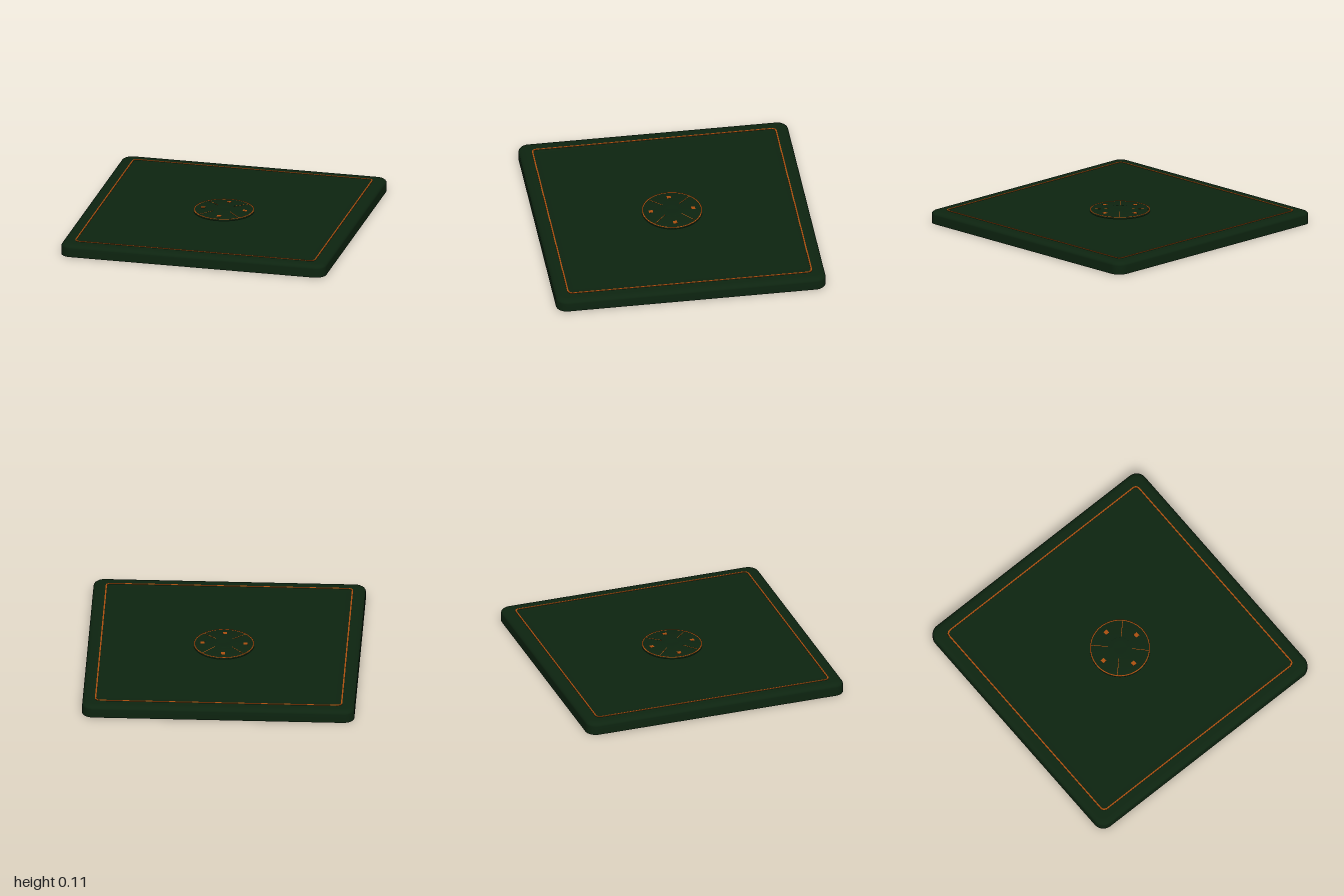
import * as THREE from 'three';

const green = new THREE.MeshStandardMaterial({ color: 0x0d2410, side: THREE.DoubleSide });
green.name = 'dark green';
const orange = new THREE.MeshStandardMaterial({ color: 0xad500f });
orange.name = 'orange';

// Points of a rounded square, counter-clockwise seen from above
function roundedLoop(half, radius, steps = 8) {
  const points = [];
  for (let c = 0; c < 4; c++) {
    const mid = Math.PI / 4 + c * Math.PI / 2;
    const cx = Math.sign(Math.cos(mid)) * (half - radius);
    const cy = Math.sign(Math.sin(mid)) * (half - radius);
    for (let i = 0; i <= steps; i++) {
      const a = (c + i / steps) * Math.PI / 2;
      points.push(new THREE.Vector2(cx + radius * Math.cos(a), cy + radius * Math.sin(a)));
    }
  }
  return points;
}

// Open-bottomed shell: stacked rounded squares closed by a flat top
function shellGeometry(profile) {
  const position = [], index = [];
  let n = 0;
  for (const [inset, y] of profile) {
    const loop = roundedLoop(1 - inset, Math.max(0.08 - inset, 0.02));
    n = loop.length;
    for (const p of loop) position.push(p.x, y, -p.y);
  }
  for (let r = 0; r < profile.length - 1; r++) {
    for (let i = 0; i < n; i++) {
      const j = (i + 1) % n, a = r * n + i, b = r * n + j;
      index.push(a, b, b + n, a, b + n, a + n);
    }
  }
  const centre = position.length / 3, last = (profile.length - 1) * n;
  position.push(0, profile[profile.length - 1][1], 0);
  for (let i = 0; i < n; i++) index.push(last + i, last + (i + 1) % n, centre);
  const geometry = new THREE.BufferGeometry();
  geometry.setAttribute('position', new THREE.Float32BufferAttribute(position, 3));
  geometry.setIndex(index);
  geometry.computeVertexNormals();
  return geometry;
}

export function createModel() {
  const model = new THREE.Group();
  model.name = 'controlPanel';
  const add = (parent, name, geometry, material, x = 0, y = 0, z = 0) => {
    const mesh = new THREE.Mesh(geometry, material);
    mesh.name = name;
    mesh.position.set(x, y, z);
    parent.add(mesh);
    return mesh;
  };

  // Shell with a soft upper edge and a slightly sunken face
  const profile = [[0, 0], [0, 0.04]];
  for (let i = 0; i <= 6; i++) {
    const a = (i / 6) * Math.PI / 2;
    profile.push([0.05 * (1 - Math.cos(a)), 0.065 + 0.028 * Math.sin(a)]);
  }
  profile.push([0.085, 0.093], [0.11, 0.093], [0.125, 0.09], [0.14, 0.09]);
  add(model, 'shell', shellGeometry(profile), green);

  // Thin border line with small rounded corners
  const border = new THREE.Shape(roundedLoop(0.909, 0.035, 3));
  border.holes.push(new THREE.Path(roundedLoop(0.899, 0.028, 3).reverse()));
  const borderGeometry = new THREE.ExtrudeGeometry(border, { depth: 0.004, bevelEnabled: false });
  borderGeometry.rotateX(-Math.PI / 2);
  add(model, 'borderLine', borderGeometry, orange, 0, 0.092, 0);

  // Round control pad rising gently to its centre button
  const pad = new THREE.Group();
  pad.name = 'controlPad';
  model.add(pad);
  const lathe = (points) => new THREE.LatheGeometry(points.map(([r, y]) => new THREE.Vector2(r, y)), 64);
  add(pad, 'padDisc', lathe([[0.222, 0.088], [0.222, 0.1], [0.08, 0.108]]), green);
  add(pad, 'centreButton', lathe([[0.082, 0.107], [0.078, 0.11], [0.04, 0.109], [0, 0.1085]]), green);
  add(pad, 'padRing', lathe([[0.222, 0.1], [0.222, 0.102], [0.214, 0.102], [0.214, 0.1]]), orange);

  // Divider lines on the diagonals and one symbol on each arm
  const slope = Math.atan2(0.008, 0.142);
  const padHeight = (r) => 0.1 + (0.222 - r) * Math.tan(slope);
  for (let i = 0; i < 4; i++) {
    const divider = new THREE.Group();
    divider.name = 'divider';
    divider.rotation.y = Math.PI / 4 + i * Math.PI / 2;
    pad.add(divider);
    const line = add(divider, 'dividerLine', new THREE.BoxGeometry(0.126, 0.002, 0.004), orange, 0.15, padHeight(0.15), 0);
    line.rotation.z = -slope;

    const arm = new THREE.Group();
    arm.name = 'padArm';
    arm.rotation.y = i * Math.PI / 2;
    pad.add(arm);
    const symbol = add(arm, 'padSymbol', new THREE.BoxGeometry(0.03, 0.002, 0.03), orange, 0.157, padHeight(0.157), 0);
    symbol.rotation.z = -slope;
  }
  return model;
}
